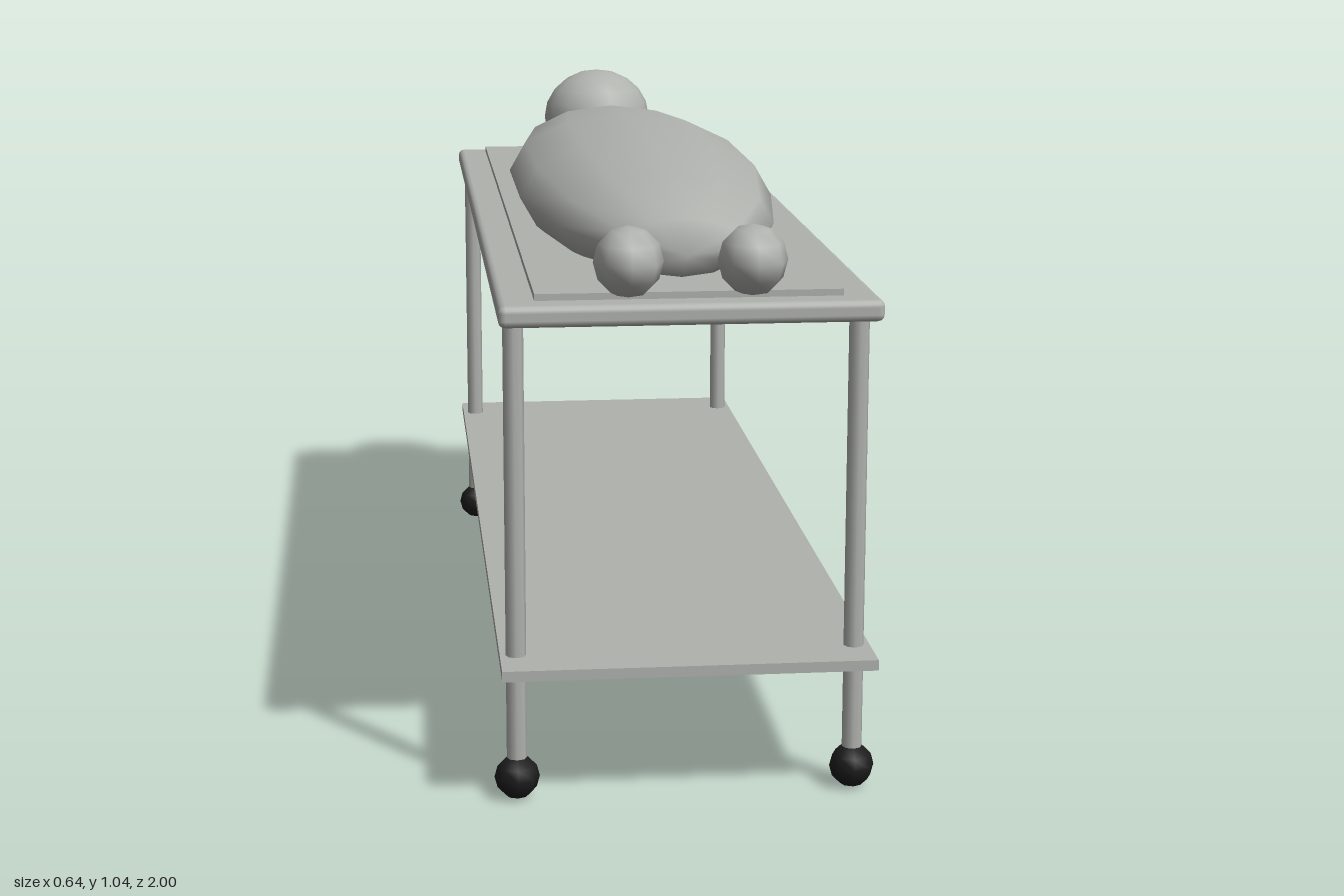
import * as THREE from 'three';
import { RoundedBoxGeometry } from 'three/addons/geometries/RoundedBoxGeometry.js';

export function createModel() {
  const group = new THREE.Group();
  const steel = new THREE.MeshStandardMaterial({ color: 0xb0b2ae });
  steel.name = 'grey steel and sheet';
  const rubber = new THREE.MeshStandardMaterial({ color: 0x1c1c1c });
  rubber.name = 'black rubber';

  const add = (name, geometry, material, x, y, z) => {
    const mesh = new THREE.Mesh(geometry, material);
    mesh.name = name;
    mesh.position.set(x, y, z);
    group.add(mesh);
    return mesh;
  };
  // Ellipsoid with its poles up, given its three radii
  const ellipsoid = (rx, ry, rz, sides, rings) =>
    new THREE.SphereGeometry(1, sides, rings).scale(rx, ry, rz);

  // Trolley: bevelled top, thin mattress and lower shelf
  add('tableTop', new RoundedBoxGeometry(0.62, 0.036, 1.96, 2, 0.012), steel, 0, 0.838, -0.018);
  add('mattress', new THREE.BoxGeometry(0.5, 0.012, 1.86), steel, 0, 0.861, -0.018);
  add('lowerShelf', new THREE.BoxGeometry(0.62, 0.018, 1.96), steel, 0, 0.245, -0.018);

  // Legs and ball casters
  for (const x of [-0.283, 0.283]) {
    for (const z of [0.877, -0.9]) {
      add('leg', new THREE.CylinderGeometry(0.017, 0.017, 0.78, 8), steel, x, 0.43, z);
      add('caster', new THREE.SphereGeometry(0.038, 8, 6), rubber, x, 0.042, z);
    }
  }

  // Covered figure: long body with poles along z, head and feet
  const body = new THREE.SphereGeometry(1, 12, 7).rotateX(Math.PI / 2).scale(0.24, 0.113, 0.857);
  add('coveredBody', body, steel, 0, 0.92, 0.03);
  add('head', ellipsoid(0.118, 0.105, 0.122, 14, 10), steel, 0, 0.943, -0.878);
  for (const x of [-0.1, 0.1]) {
    add('foot', ellipsoid(0.057, 0.058, 0.075, 8, 6), steel, x, 0.919, 0.922);
  }

  // Hand and tag hanging at the left edge
  add('hand', ellipsoid(0.034, 0.03, 0.1, 8, 6), steel, 0.27, 0.826, -0.17);
  add('tag', new THREE.BoxGeometry(0.06, 0.04, 0.004), steel, 0.27, 0.788, -0.265);

  return group;
}
